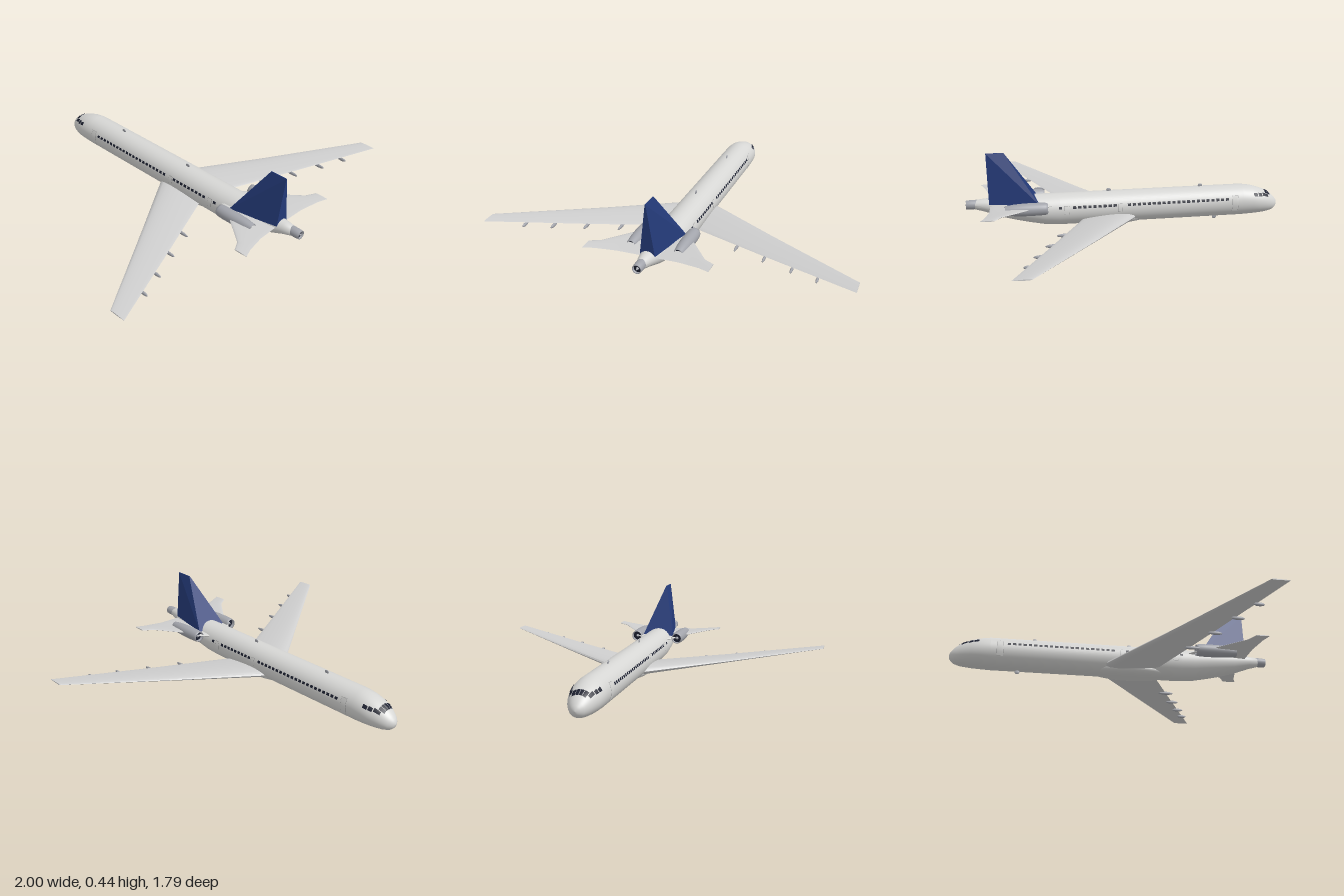
import * as THREE from 'three';
import { mergeGeometries, toCreasedNormals } from 'three/addons/utils/BufferGeometryUtils.js';
import { ConvexGeometry } from 'three/addons/geometries/ConvexGeometry.js';

const DEG = Math.PI / 180;
const V = (x, y, z) => new THREE.Vector3(x, y, z);

// Fuselage stations: z, centre height, half width, half height
const STATIONS = [
  [-0.89, 0.08, 0.001, 0.001], [-0.887, 0.08, 0.014, 0.015], [-0.88, 0.081, 0.026, 0.026],
  [-0.866, 0.083, 0.041, 0.04], [-0.85, 0.087, 0.051, 0.05], [-0.83, 0.092, 0.062, 0.06],
  [-0.805, 0.097, 0.071, 0.068], [-0.77, 0.102, 0.081, 0.076], [-0.73, 0.107, 0.087, 0.083],
  [-0.67, 0.11, 0.089, 0.089], [0.38, 0.11, 0.089, 0.089], [0.46, 0.113, 0.088, 0.086],
  [0.55, 0.122, 0.082, 0.077], [0.62, 0.129, 0.073, 0.068], [0.695, 0.138, 0.06, 0.057],
  [0.79, 0.152, 0.037, 0.036], [0.85, 0.158, 0.024, 0.024],
];

// Point on the fuselage skin at station z and angle a (0 = model left, 90 degrees = top)
function skin(z, a, lift = 0) {
  let i = 0;
  while (i < STATIONS.length - 2 && z > STATIONS[i + 1][0]) i++;
  const p = STATIONS[i], q = STATIONS[i + 1];
  const t = (z - p[0]) / (q[0] - p[0]);
  const [, c, rx, ry] = p.map((v, k) => v + (q[k] - v) * t);
  return V((rx + lift) * Math.cos(a), c + (ry + lift) * Math.sin(a), z);
}

// Surface through a row of point rings; closed rings may be capped
function loft(rings, closed = true) {
  const n = rings[0].length, pts = rings.flat(), index = [];
  for (let i = 0; i < rings.length - 1; i++) {
    for (let j = 0; j < (closed ? n : n - 1); j++) {
      const k = (j + 1) % n;
      const a = i * n + j, b = i * n + k, c = a + n, d = b + n;
      index.push(a, b, d, a, d, c);
    }
  }
  if (closed) {
    const last = (rings.length - 1) * n;
    for (let j = 1; j < n - 1; j++) {
      index.push(0, j + 1, j, last, last + j, last + j + 1);
    }
  }
  const g = new THREE.BufferGeometry().setFromPoints(pts);
  g.setIndex(index);
  g.computeVertexNormals();
  return g;
}

// Thin plate that follows the fuselage skin; angles in degrees
function patch(z0, z1, a0, a1, lift = 0.0015) {
  const rings = [];
  for (let i = 0; i <= 3; i++) {
    const ring = [];
    for (let j = 0; j <= 4; j++) {
      ring.push(skin(z0 + (z1 - z0) * i / 3, (a0 + (a1 - a0) * j / 4) * DEG, lift));
    }
    rings.push(ring);
  }
  return loft(rings, false);
}
const bothSides = (z0, z1, a0, a1, lift) =>
  [patch(z0, z1, a0, a1, lift), patch(z0, z1, 180 - a1, 180 - a0, lift)];

// Airfoil surface from sections: x, leading z, trailing z, height, half thickness
function airfoil(sections, side) {
  const rings = sections.map(([x, z0, z1, y, h]) => {
    const ring = [];
    for (let j = 0; j < 20; j++) {
      const a = j / 20 * Math.PI * 2, u = (1 + Math.sin(a)) / 2;
      ring.push(V(side * x, y + h * Math.cos(a) * (1.3 - 0.9 * u), z0 + (z1 - z0) * u));
    }
    return ring;
  });
  if (side < 0) rings.reverse();
  return toCreasedNormals(loft(rings), 0.7);
}

export function createModel() {
  const model = new THREE.Group();
  model.name = 'airliner';
  const mat = (name, color, extra = {}) => {
    const m = new THREE.MeshStandardMaterial({ color, ...extra });
    m.name = name;
    return m;
  };
  const white = mat('body white', 0xd6d6d4);
  const wingGrey = mat('wing grey', 0xcecece);
  const metal = mat('engine metal', 0xa2a4ab, { side: THREE.DoubleSide });
  const blue = mat('tail blue', 0x243a78);
  const glass = mat('window dark', 0x1c2030);
  const seam = mat('seam grey', 0x9a9a9a);
  const add = (name, geo, material, parent = model) => {
    const m = new THREE.Mesh(geo, material);
    m.name = name;
    parent.add(m);
    return m;
  };

  // Fuselage and belly fairing
  const body = STATIONS.map(([z]) =>
    Array.from({ length: 64 }, (_, j) => skin(z, j / 64 * Math.PI * 2)));
  add('fuselage', loft(body), white);
  const belly = add('bellyFairing', new THREE.SphereGeometry(1, 32, 20), white);
  belly.scale.set(0.08, 0.04, 0.24);
  belly.position.set(0, 0.05, 0.1);

  // Cabin windows
  const cabin = [];
  const row = (start, count) => {
    for (let i = 0; i < count; i++) {
      const z = start - i * 0.0283;
      cabin.push(...bothSides(z - 0.009, z + 0.009, 13.5, 23));
    }
  };
  row(0.38, 1);
  row(0.302, 9);
  row(-0.004, 21);
  add('cabinWindows', mergeGeometries(cabin), glass);

  // Cockpit windows: front panes, corner panes, then two side panes
  const panes = [
    [-0.84, -0.808, 74, 89], [-0.84, -0.808, 54, 72], [-0.825, -0.79, 35, 51],
    [-0.785, -0.762, 30, 46], [-0.757, -0.732, 28, 42],
  ];
  add('cockpitWindows', mergeGeometries(panes.flatMap(p => bothSides(...p, 0.002))), glass);

  // Doors with a fine seam around each
  const doors = [[-0.636, -0.6, -29, 32], [0.034, 0.06, -6, 25], [0.33, 0.36, -6, 25]];
  const seams = [], panels = [];
  for (const [z0, z1, a0, a1] of doors) {
    seams.push(...bothSides(z0, z1, a0, a1, 0.0008));
    panels.push(...bothSides(z0 + 0.0015, z1 - 0.0015, a0 + 1, a1 - 1, 0.0016));
  }
  add('doorSeams', mergeGeometries(seams), seam);
  add('doorPanels', mergeGeometries(panels), white);

  // Blade antennas
  for (const [y, z] of [[0.205, 0.1], [0.205, -0.43], [0.011, -0.52]]) {
    const blade = add('antenna', new THREE.SphereGeometry(1, 10, 8), metal);
    blade.scale.set(0.003, 0.011, 0.014);
    blade.position.set(0, y, z);
  }

  // Wedge-shaped tail fin
  const fin = [];
  for (const s of [-1, 1]) {
    fin.push(V(s * 0.094, 0.16, 0.49), V(s * 0.04, 0.165, 0.765),
      V(s * 0.002, 0.443, 0.676), V(s * 0.002, 0.443, 0.772));
  }
  add('tailFin', new ConvexGeometry(fin), blue);

  // Engine built around z: shell profile, dark openings and exhaust plug
  const engine = (name, profile, x, y, rear, r, front) => {
    const g = new THREE.Group();
    g.name = name;
    g.position.set(x, y, 0);
    model.add(g);
    const shell = new THREE.LatheGeometry(profile.map(p => new THREE.Vector2(...p)), 28);
    add('engineShell', shell.rotateX(Math.PI / 2), metal, g);
    add('exhaustOpening', new THREE.CircleGeometry(r, 28), glass, g).position.z = rear - 0.012;
    const plug = new THREE.ConeGeometry(r * 0.5, 0.03, 16).rotateX(Math.PI / 2);
    add('exhaustPlug', plug, metal, g).position.z = rear - 0.006;
    if (front !== undefined) {
      const intake = new THREE.CircleGeometry(0.028, 28).rotateY(Math.PI);
      add('intake', intake, glass, g).position.z = front + 0.02;
      const spinner = new THREE.ConeGeometry(0.01, 0.02, 16).rotateX(-Math.PI / 2);
      add('spinner', spinner, metal, g).position.z = front + 0.012;
    }
  };
  const pod = [[0.026, 0.475], [0.027, 0.458], [0.03, 0.452], [0.033, 0.465], [0.035, 0.5],
    [0.035, 0.57], [0.032, 0.63], [0.025, 0.682], [0.022, 0.682], [0.022, 0.66]];
  engine('tailEngine', [[0.02, 0.79], [0.026, 0.82], [0.026, 0.86], [0.024, 0.89],
    [0.02, 0.89], [0.02, 0.87]], 0, 0.158, 0.89, 0.021);

  for (const s of [1, -1]) {
    const side = s > 0 ? 'left' : 'right';
    // Main wing, tailplane and engine pylon
    add(side + 'Wing', airfoil([[0.03, -0.072, 0.238, 0.06, 0.027],
      [0.48, 0.233, 0.441, 0.087, 0.013], [1, 0.583, 0.675, 0.124, 0.003]], s), wingGrey);
    add(side + 'Tailplane', airfoil([[0.03, 0.46, 0.758, 0.156, 0.008],
      [0.165, 0.56, 0.765, 0.16, 0.006], [0.275, 0.705, 0.79, 0.167, 0.004],
      [0.33, 0.737, 0.812, 0.17, 0.003]], s), wingGrey);
    add(side + 'Pylon', airfoil([[0.05, 0.39, 0.68, 0.152, 0.01],
      [0.12, 0.47, 0.66, 0.154, 0.008]], s), white);
    engine(side + 'Engine', pod, s * 0.127, 0.154, 0.682, 0.0225, 0.452);

    // Flap track fairings along the trailing edge
    for (const [x, z, len] of [[0.33, 0.378, 0.044], [0.5, 0.455, 0.038],
      [0.66, 0.527, 0.034], [0.8, 0.588, 0.028]]) {
      const pod2 = add('flapFairing', new THREE.SphereGeometry(1, 12, 10), metal);
      pod2.scale.set(0.007, 0.01, len);
      pod2.position.set(s * x, 0.057 + x * 0.062 - 0.008, z);
    }
  }
  return model;
}
